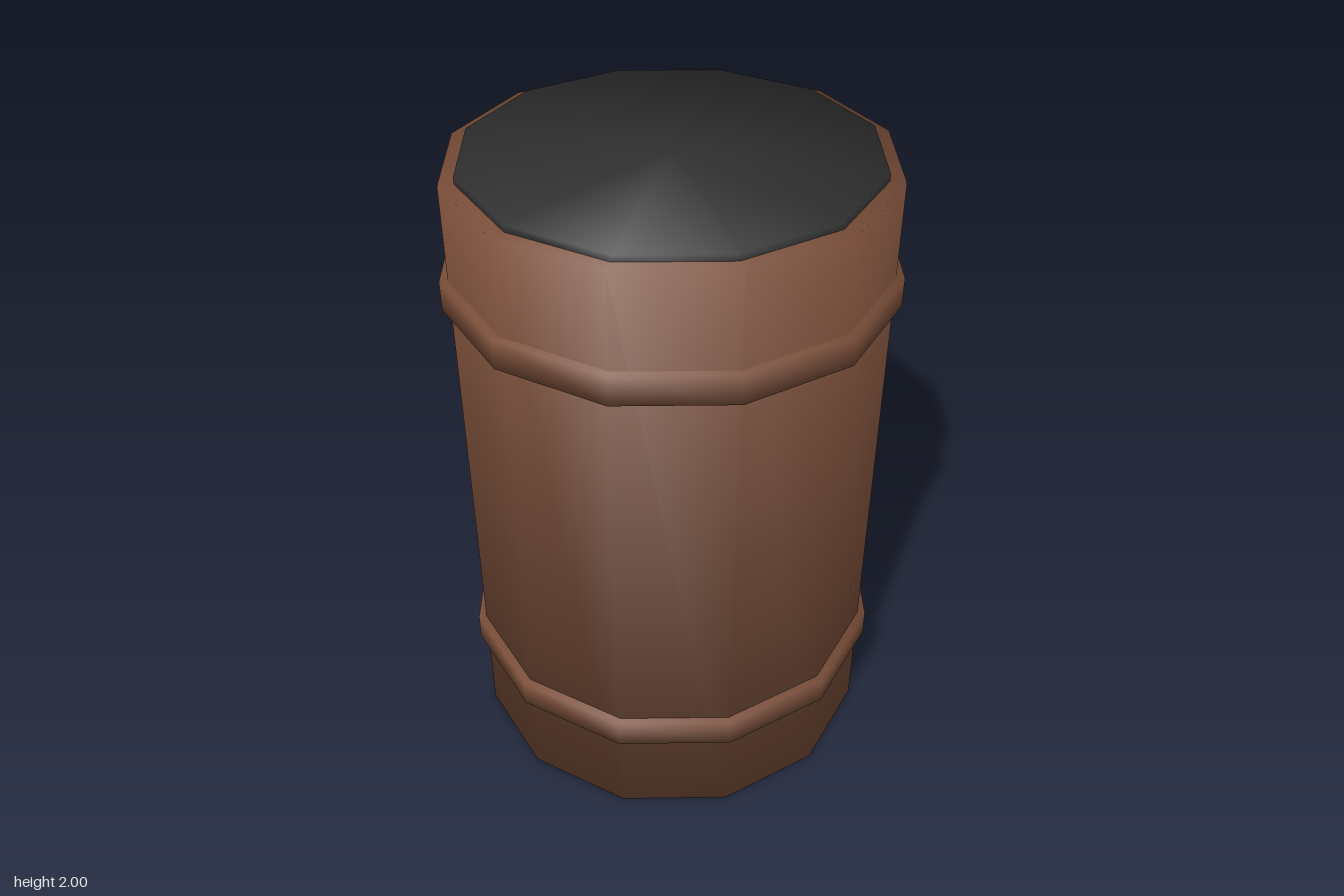
import * as THREE from 'three';

const SIDES = 12;

// Turned 12-sided part; each profile point is [radius, y, slope],
// where slope -1/0/1 tips the smooth normal down, straight out of the axis, or up.
function turned(name, profile, material) {
  const geo = new THREE.LatheGeometry(profile.map(([r, y]) => new THREE.Vector2(r, y)), SIDES);
  const normal = geo.attributes.normal;
  const v = new THREE.Vector3();
  for (let i = 0; i <= SIDES; i++) {
    const a = (i / SIDES) * Math.PI * 2;
    profile.forEach(([r, , slope], j) => {
      const out = r > 0 ? 1 : 0;
      v.set(Math.sin(a) * out, slope * 0.86, Math.cos(a) * out).normalize();
      normal.setXYZ(i * profile.length + j, v.x, v.y, v.z);
    });
  }
  const mesh = new THREE.Mesh(geo, material);
  mesh.name = name;
  return mesh;
}

// Closed drum with normals softened over its rims
const drum = (name, r, y0, y1, material) =>
  turned(name, [[0, y0, -1], [r, y0, -1], [r, y1, 1], [0, y1, 1]], material);

// Raised hoop around the body
const hoop = (name, y0, y1, material) =>
  turned(name, [[0.64, y0, -1], [0.675, y0, -1], [0.675, y1, 1], [0.64, y1, 1]], material);

export function createModel() {
  const brown = new THREE.MeshStandardMaterial({ color: 0x7a4e39 });
  brown.name = 'brown';
  const black = new THREE.MeshStandardMaterial({ color: 0x303030 });
  black.name = 'charcoal';

  const barrel = new THREE.Group();
  barrel.name = 'barrel';
  barrel.add(
    drum('body', 0.65, 0, 1.98, brown),
    drum('lid', 0.605, 1.96, 2, black),
    hoop('lowerHoop', 0.3, 0.39, brown),
    hoop('upperHoop', 1.6, 1.69, brown),
  );
  return barrel;
}
